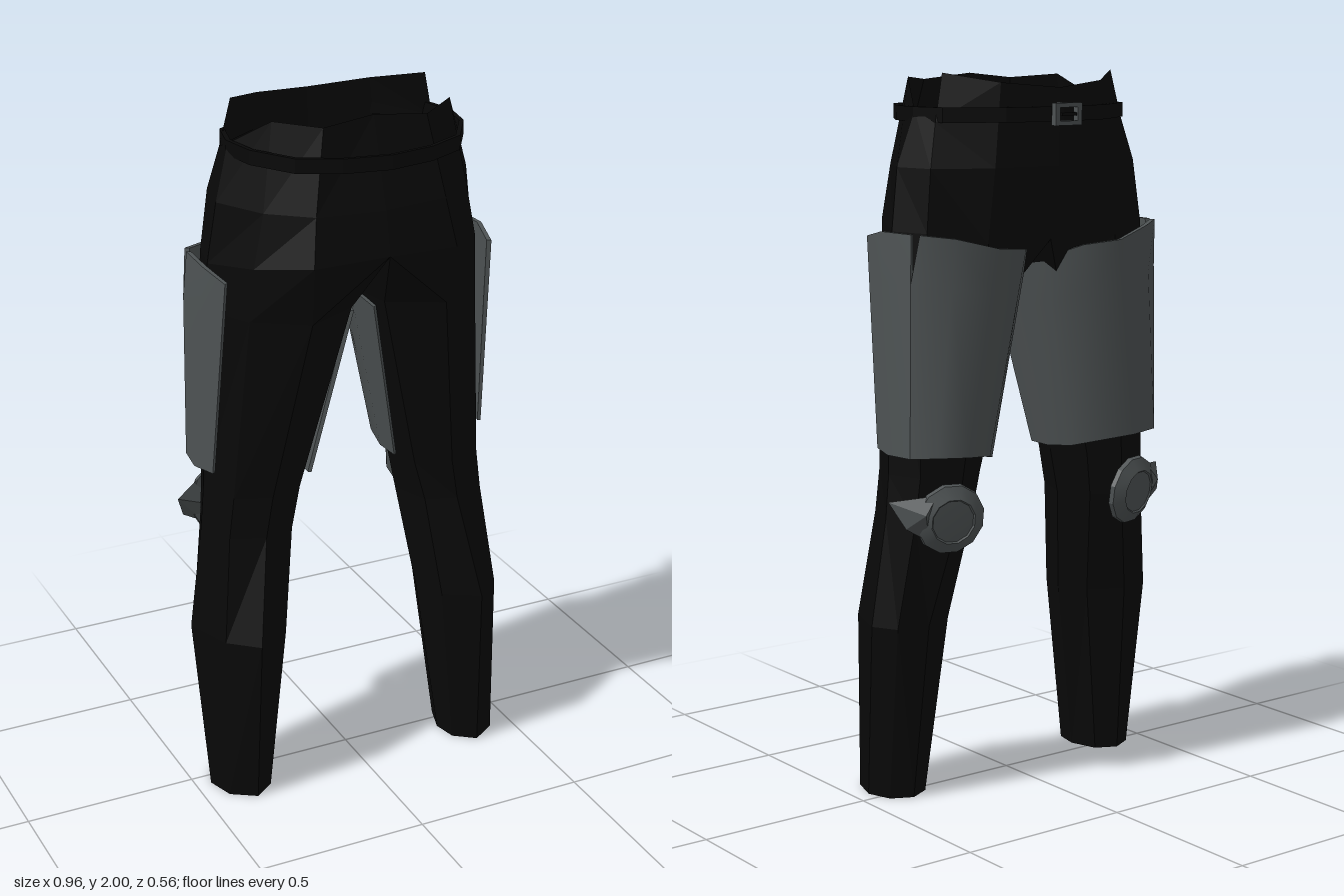
import * as THREE from 'three';
import { toCreasedNormals } from 'three/addons/utils/BufferGeometryUtils.js';
import { ConvexGeometry } from 'three/addons/geometries/ConvexGeometry.js';

const V = (p) => new THREE.Vector3(...p);

// Triangle geometry from a list of quads or triangles; side -1 mirrors it across x
function faces(list, side) {
  const out = [];
  for (const f of list) {
    for (let i = 1; i < f.length - 1; i++) {
      const tri = side > 0 ? [f[0], f[i], f[i + 1]] : [f[0], f[i + 1], f[i]];
      for (const p of tri) out.push(p[0] * side, p[1], p[2]);
    }
  }
  const g = new THREE.BufferGeometry();
  g.setAttribute('position', new THREE.Float32BufferAttribute(out, 3));
  g.computeVertexNormals();
  return g;
}

// Quads between successive rows, listed from the top row down
function strip(rows, closed) {
  const list = [];
  for (let r = 0; r < rows.length - 1; r++) {
    const a = rows[r], b = rows[r + 1], n = a.length;
    for (let i = 0; i < (closed ? n : n - 1); i++) {
      const j = (i + 1) % n;
      list.push([a[i], b[i], b[j], a[j]]);
    }
  }
  return list;
}

// Hip half rings from centre back round the side to centre front
const hipRows = [
  [[0, 1.99, 0.17], [0.15, 1.975, 0.18], [0.26, 1.985, 0.1], [0.33, 1.9, -0.03], [0.32, 1.87, -0.11], [0.17, 1.975, -0.2], [0, 1.96, -0.24]],
  [[0, 1.75, 0.245], [0.19, 1.75, 0.22], [0.3, 1.75, 0.13], [0.375, 1.75, -0.01], [0.35, 1.75, -0.13], [0.2, 1.75, -0.215], [0, 1.75, -0.235]],
  [[0, 1.63, 0.27], [0.21, 1.62, 0.25], [0.33, 1.6, 0.13], [0.4, 1.58, -0.02], [0.37, 1.58, -0.14], [0.22, 1.55, -0.21], [0, 1.55, -0.2]],
];

// Leg rings as [height, [x, z] ...], starting at the inner seam
const legRings = [
  [1.45, [[0.02, 0], [0.05, 0.14], [0.2, 0.215], [0.34, 0.12], [0.41, -0.02], [0.38, -0.14], [0.22, -0.21], [0.06, -0.15]]],
  [0.92, [[0.145, -0.02], [0.18, 0.08], [0.28, 0.12], [0.38, 0.08], [0.425, -0.03], [0.39, -0.13], [0.28, -0.175], [0.19, -0.13]]],
  [0.8, [[0.17, -0.02], [0.21, 0.09], [0.3, 0.118], [0.395, 0.08], [0.435, -0.03], [0.4, -0.12], [0.29, -0.165], [0.21, -0.12]]],
  [0.5, [[0.215, 0.03], [0.25, 0.13], [0.35, 0.19], [0.43, 0.12], [0.478, -0.02], [0.44, -0.09], [0.35, -0.11], [0.25, -0.06]]],
  [0, [[0.285, 0.05], [0.3, 0.12], [0.36, 0.165], [0.43, 0.12], [0.455, 0.04], [0.43, -0.03], [0.37, -0.06], [0.31, -0.03]]],
];

// Thigh plate columns as [top, bottom, optional upper-middle point]
const slit = [0.424, 1.45, -0.14];
const sidePlate = [
  [[0.4, 1.56, 0.1], [0.42, 0.985, 0.03]],
  [[0.422, 1.58, 0], [0.442, 0.98, -0.05]],
  [[0.415, 1.58, -0.13], [0.43, 0.98, -0.14], slit],
];
const frontPlate = [
  [[0.408, 1.58, -0.16], [0.43, 0.98, -0.14], slit],
  [[0.33, 1.57, -0.215], [0.38, 0.985, -0.2]],
  [[0.21, 1.54, -0.247], [0.29, 0.98, -0.218]],
  [[0.1, 1.53, -0.22], [0.2, 0.97, -0.19]],
  [[0.03, 1.49, -0.13], [0.14, 0.95, -0.12]],
  [[0.014, 1.45, 0], [0.125, 0.94, -0.03]],
  [[0.03, 1.43, 0.115], [0.13, 0.94, 0.05]],
];

// Curved plate with an outer skin, an inner skin and rims
function plate(columns, side) {
  const mix = (a, b, t) => a.map((v, i) => v + (b[i] - v) * t);
  const outer = [
    columns.map((c) => c[0]),
    columns.map((c) => c[2] || mix(c[0], c[1], 0.22)),
    columns.map((c) => c[1]),
  ];
  const inner = outer.map((row, r) => row.map((p) => mix(p, [[0.22, 0.23, 0.28][r], p[1], -0.03], 0.06)));
  const ends = (i) => [0, 1, 2].map((r) => [outer[r][i], inner[r][i]]);
  const list = [
    ...strip([...outer, ...inner.slice().reverse(), outer[0]], false),
    ...strip(ends(0).map(([o, n]) => [n, o]), false),
    ...strip(ends(columns.length - 1), false),
  ];
  return toCreasedNormals(faces(list, side), 0.8);
}

export function createModel() {
  const model = new THREE.Group();
  model.name = 'armouredTrousers';
  const cloth = new THREE.MeshStandardMaterial({ color: 0x080808, side: THREE.DoubleSide });
  cloth.name = 'black cloth';
  const armour = new THREE.MeshStandardMaterial({ color: 0x4d5253 });
  armour.name = 'grey armour';
  const add = (geometry, material, name) => {
    const mesh = new THREE.Mesh(geometry, material);
    mesh.name = name;
    model.add(mesh);
    return mesh;
  };

  for (const side of [1, -1]) {
    const label = side > 0 ? 'left' : 'right';

    // Hips, with the raised front corner of the waist
    const top = hipRows[0];
    const flap = [top[4], top[5], [0.29, 2, -0.1]];
    add(faces([...strip(hipRows, false), flap], side), cloth, label + 'Hip');

    // Leg, open at the ankle and joined to the hips at the crotch
    const rings = [
      [[0, 1.5, 0], ...hipRows[2]],
      ...legRings.map(([y, pts]) => pts.map(([x, z]) => [x, y, z])),
    ];
    add(faces(strip(rings, true), side), cloth, label + 'Leg');

    // Thigh armour
    add(plate(sidePlate, side), armour, label + 'SideThighPlate');
    add(plate(frontPlate, side), armour, label + 'FrontThighPlate');

    // Knee disc with a raised centre
    const profile = [[0, 0], [0.1, 0], [0.098, 0.014], [0.064, 0.034], [0.06, 0.03], [0, 0.032]];
    const disc = new THREE.LatheGeometry(profile.map(([x, y]) => new THREE.Vector2(x, y)), 12);
    const knee = add(toCreasedNormals(disc.toNonIndexed(), 0.3), armour, label + 'KneePad');
    knee.position.set(0.32 * side, 0.81, -0.165);
    knee.quaternion.setFromUnitVectors(V([0, 1, 0]), V([0.25 * side, -0.15, -1]).normalize());

    // Pointed wing on the outside of the knee
    const wing = [[0.37, 0.88, -0.18], [0.38, 0.75, -0.155], [0.445, 0.79, -0.14], [0.475, 0.862, -0.1], [0.41, 0.83, -0.185], [0.39, 0.82, -0.13]];
    add(new ConvexGeometry(wing.map(([x, y, z]) => V([x * side, y, z]))), armour, label + 'KneeWing');
  }

  // Belt
  const half = [[0, 0.278], [0.13, 0.255], [0.24, 0.2], [0.315, 0.08], [0.335, -0.03], [0.31, -0.13], [0.17, -0.225], [0, -0.258]];
  const loop = [...half, ...half.slice(1, -1).reverse().map(([x, z]) => [-x, z])];
  const outline = (k) => loop.map(([x, z]) => new THREE.Vector2(x * k, -z * k));
  const beltShape = new THREE.Shape(outline(1));
  beltShape.holes.push(new THREE.Path(outline(0.96)));
  const belt = new THREE.ExtrudeGeometry(beltShape, { depth: 0.04, bevelEnabled: false });
  belt.rotateX(-Math.PI / 2);
  add(belt, cloth, 'belt').position.y = 1.87;

  // Buckle frame and prong
  const rect = (w, h) => [[-w, -h], [w, -h], [w, h], [-w, h]].map(([x, y]) => new THREE.Vector2(x, y));
  const frame = new THREE.Shape(rect(0.045, 0.03));
  frame.holes.push(new THREE.Path(rect(0.03, 0.018)));
  const buckle = new THREE.ExtrudeGeometry(frame, { depth: 0.018, bevelEnabled: false });
  add(buckle, armour, 'buckleFrame').position.set(0, 1.89, -0.277);
  add(new THREE.BoxGeometry(0.05, 0.008, 0.012), cloth, 'buckleProng').position.set(0, 1.89, -0.274);

  return model;
}
